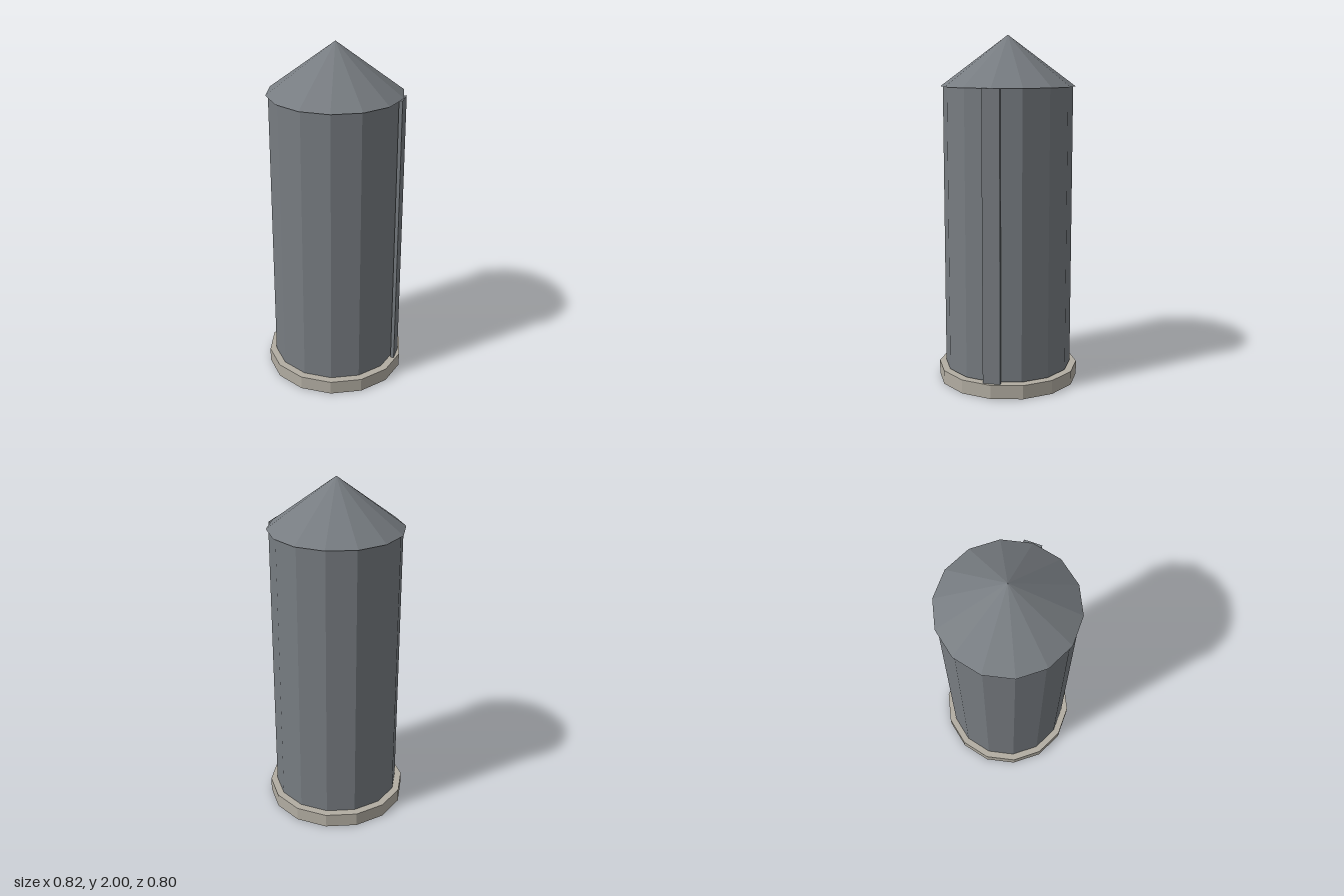
import * as THREE from 'three';

const SIDES = 14;

export function createModel() {
  const group = new THREE.Group();
  const metal = new THREE.MeshStandardMaterial({ color: 0x777c81, flatShading: true });
  metal.name = 'grey metal';
  const concrete = new THREE.MeshStandardMaterial({ color: 0xb2ada2, flatShading: true, side: THREE.DoubleSide });
  concrete.name = 'concrete';

  const add = (name, geometry, material, x, y) => {
    const mesh = new THREE.Mesh(geometry, material);
    mesh.name = name;
    mesh.position.set(x, y, 0);
    group.add(mesh);
  };
  // Faceted drum with corners on the x axis
  const drum = (radius, height, open) =>
    new THREE.CylinderGeometry(radius, radius, height, SIDES, 1, open, Math.PI / 2);

  // Foundation: a rim and a top slab, hollow underneath
  add('foundationRim', drum(0.409, 0.08, true), concrete, 0, 0.04);
  add('foundationTop', new THREE.CircleGeometry(0.409, SIDES).rotateX(-Math.PI / 2), concrete, 0, 0.08);
  // Silo wall
  add('siloBody', drum(0.37, 1.63, false), metal, 0, 0.9);
  // Conical roof with a slight overhang
  const roof = new THREE.ConeGeometry(0.384, 0.286, SIDES, 1, false, Math.PI / 2);
  add('roof', roof, metal, 0, 1.857);
  // Vertical chute on the left side, standing just proud of the wall
  add('chute', new THREE.BoxGeometry(0.02, 1.635, 0.1), metal, 0.377, 0.8975);

  return group;
}
